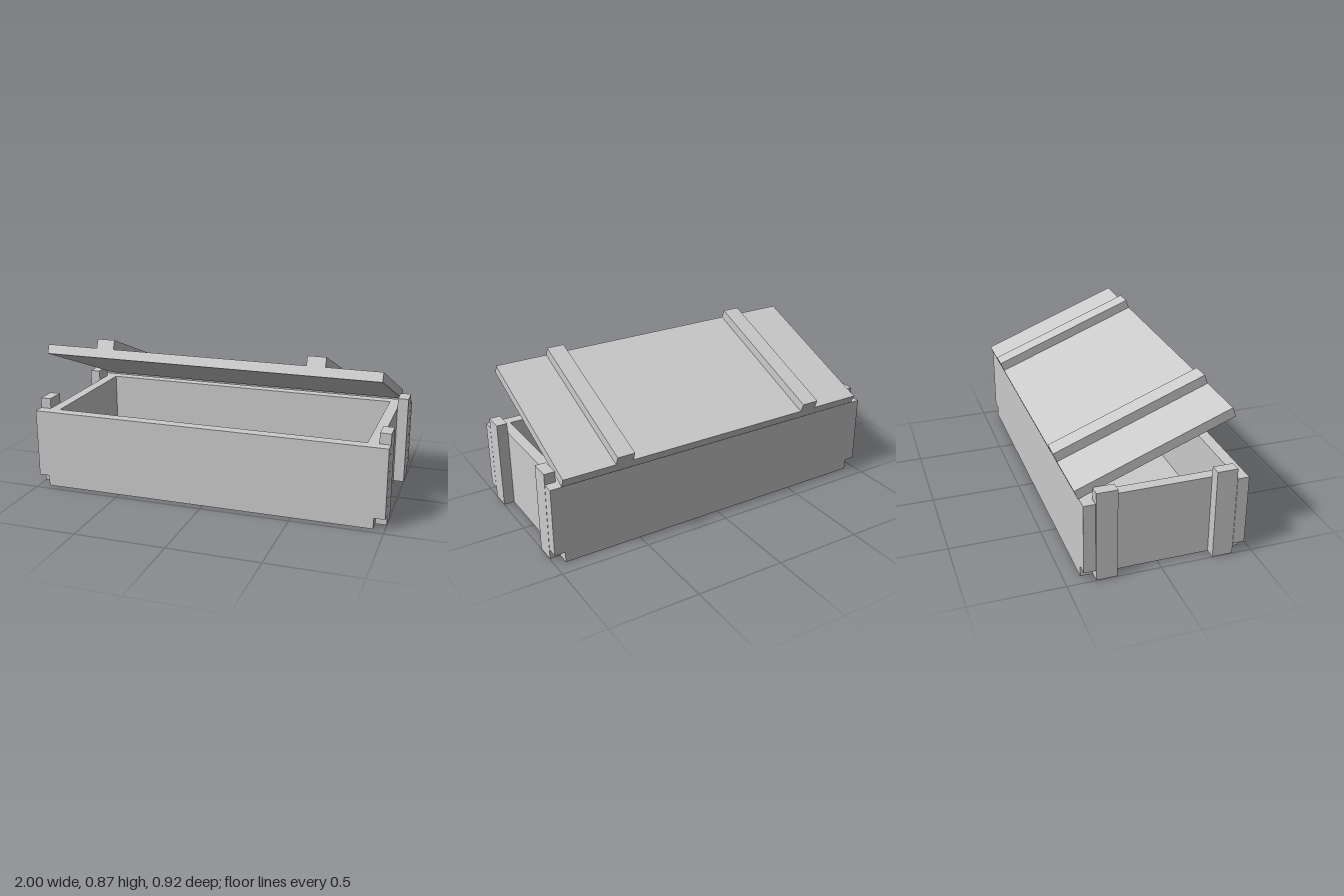
import * as THREE from 'three';

const material = new THREE.MeshStandardMaterial({ color: 0xcccccc, flatShading: true });

// Box given by its min and max on each axis
function slab(name, [x0, x1], [y0, y1], [z0, z1]) {
  const mesh = new THREE.Mesh(new THREE.BoxGeometry(x1 - x0, y1 - y0, z1 - z0), material);
  mesh.position.set((x0 + x1) / 2, (y0 + y1) / 2, (z0 + z1) / 2);
  mesh.name = name;
  return mesh;
}

// Long wall with its two bottom corners notched
function longWall(name, z, depth) {
  const shape = new THREE.Shape([
    [-0.94, 0], [0.94, 0], [0.94, 0.06], [1, 0.06],
    [1, 0.447], [-1, 0.447], [-1, 0.06], [-0.94, 0.06],
  ].map(([x, y]) => new THREE.Vector2(x, y)));
  const mesh = new THREE.Mesh(
    new THREE.ExtrudeGeometry(shape, { depth, bevelEnabled: false }), material);
  mesh.position.z = z;
  mesh.name = name;
  return mesh;
}

export function createModel() {
  const crate = new THREE.Group();
  crate.name = 'crate';

  // Crate body
  crate.add(
    longWall('frontWall', 0.395, 0.063),
    longWall('backWall', -0.413, 0.063),
    slab('floor', [-0.88, 0.88], [0, 0.06], [-0.35, 0.395]),
  );

  // End walls and their upright posts
  for (const [side, s] of [['left', 1], ['right', -1]]) {
    const span = (a, b) => (s > 0 ? [a, b] : [-b, -a]);
    crate.add(
      slab(side + 'EndWall', span(0.88, 0.94), [0, 0.447], [-0.35, 0.395]),
      slab(side + 'FrontPost', span(0.94, 1), [0.002, 0.505], [0.282, 0.393]),
      slab(side + 'BackPost', span(0.94, 1), [0.002, 0.505], [-0.347, -0.236]),
    );
  }

  // Open lid, tilted about its lower back edge
  const lid = new THREE.Group();
  lid.name = 'lid';
  lid.position.set(0, 0.452, -0.42);
  lid.rotation.x = -0.374;
  lid.add(slab('lidBoard', [-0.94, 0.94], [0, 0.052], [0, 0.87]));
  for (const x of [-0.593, 0.593]) {
    lid.add(slab('lidBatten', [x - 0.05, x + 0.05], [0.052, 0.104], [0, 0.87]));
  }
  crate.add(lid);

  return crate;
}
